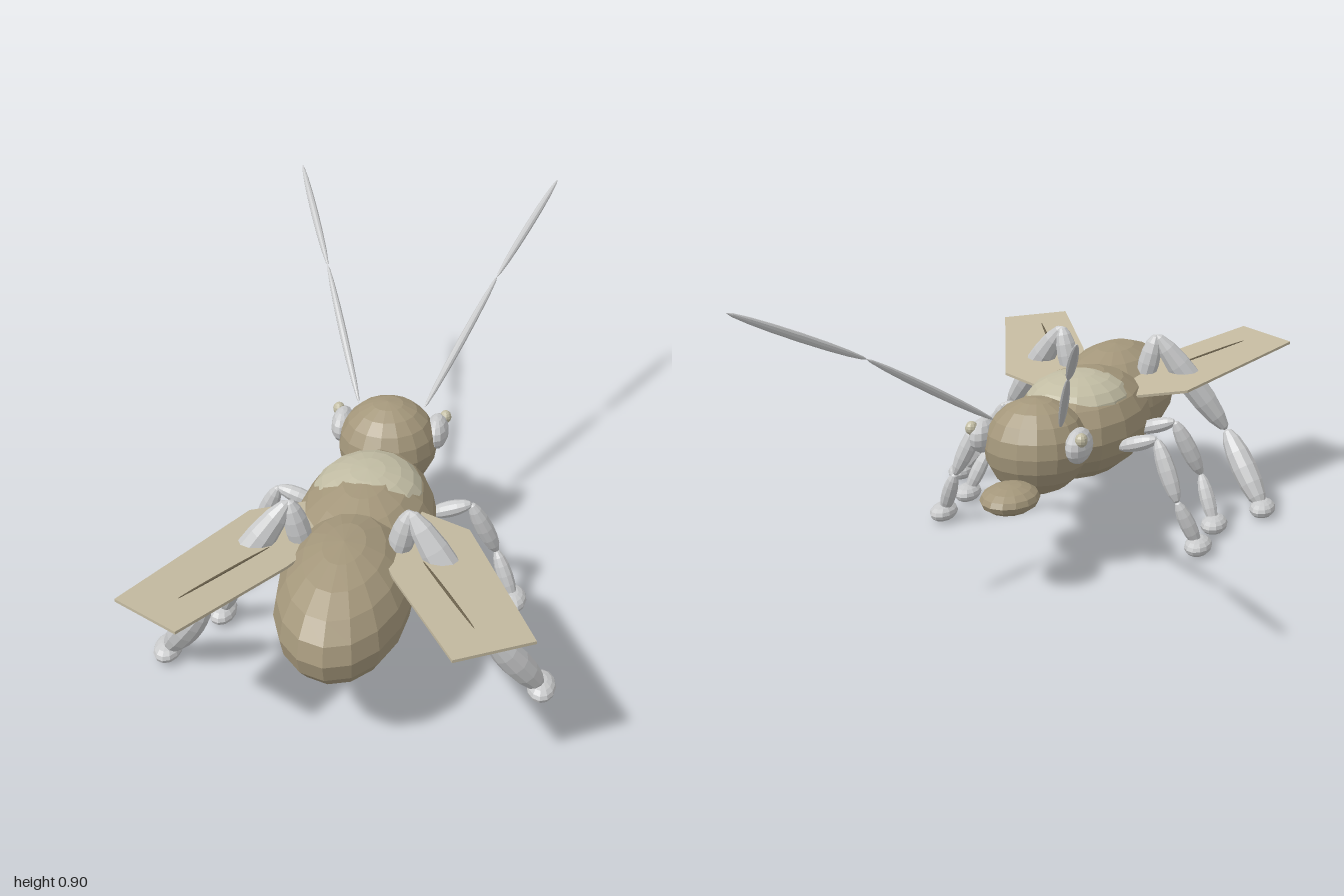
import * as THREE from 'three';

const mat = (name, color) => new THREE.MeshStandardMaterial({ name, color, flatShading: true });

export function createModel() {
  const group = new THREE.Group();
  group.name = 'insect';
  const brown = mat('shell brown', 0xa4977b);
  const pale = mat('pale plate', 0xc2bda4);
  const wingTan = mat('wing tan', 0xc4baa0);
  wingTan.side = THREE.DoubleSide;
  const grey = mat('limb grey', 0xc9cacb);
  const dark = mat('vein brown', 0x6b614c);

  const add = (name, geometry, material, parent = group) => {
    const mesh = new THREE.Mesh(geometry, material);
    mesh.name = name;
    parent.add(mesh);
    return mesh;
  };

  // Faceted ellipsoid
  const blob = (name, material, pos, size, w = 16, h = 10, parent = group) => {
    const m = add(name, new THREE.SphereGeometry(1, w, h), material, parent);
    m.position.set(...pos);
    m.scale.set(...size);
    return m;
  };

  // Long ellipsoid stretched between two points
  const up = new THREE.Vector3(0, 1, 0);
  const spindle = (name, material, a, b, r, parent = group) => {
    const p = new THREE.Vector3(...a), q = new THREE.Vector3(...b);
    const m = blob(name, material, [0, 0, 0], [r, p.distanceTo(q) / 2 + 0.003, r], 10, 8, parent);
    m.position.copy(p).add(q).multiplyScalar(0.5);
    m.quaternion.setFromUnitVectors(up, q.sub(p).normalize());
    return m;
  };

  // Body and head, facing -z
  blob('abdomen', brown, [0, 0.337, 0.58], [0.178, 0.166, 0.305]);
  blob('thorax', brown, [0, 0.335, 0.26], [0.197, 0.16, 0.32]);
  blob('backPlate', pale, [0, 0.41, 0.22], [0.158, 0.089, 0.2]);
  blob('head', brown, [0, 0.374, -0.137], [0.148, 0.139, 0.15]);
  blob('mouthpart', brown, [0, 0.283, -0.335], [0.08, 0.039, 0.1], 14, 8);

  // Legs: hip, upper joint, knee, foot, then the three radii
  const legs = [
    ['frontLeg', [0.16, 0.305, 0.125], [0.28, 0.345, 0.118], [0.355, 0.17, 0.085], [0.412, 0.03, 0.122], [0.024, 0.027, 0.024]],
    ['middleLeg', [0.16, 0.305, 0.315], [0.28, 0.345, 0.307], [0.355, 0.17, 0.355], [0.412, 0.03, 0.31], [0.024, 0.027, 0.024]],
    ['hindLeg', [0.115, 0.38, 0.495], [0.158, 0.56, 0.505], [0.375, 0.25, 0.583], [0.52, 0.03, 0.5], [0.034, 0.043, 0.041]],
  ];

  // Wing outline as x, z
  const outline = [[0.05, 0.45], [0.15, 0.285], [0.3, 0.37], [0.51, 0.88], [0.325, 0.995], [0.135, 0.65]];
  const wingY = (z) => 0.417 + (z - 0.3) * 0.105;

  for (const s of [1, -1]) {
    const side = s > 0 ? 'Left' : 'Right';
    const flip = ([x, y, z]) => [s * x, y, z];

    for (const [name, hip, joint, knee, foot, r] of legs) {
      const leg = new THREE.Group();
      leg.name = name + side;
      group.add(leg);
      spindle('hipSegment', grey, flip(hip), flip(joint), r[0], leg);
      spindle('thigh', grey, flip(joint), flip(knee), r[1], leg);
      spindle('shin', grey, flip(knee), flip(foot), r[2], leg);
      blob('foot', grey, flip(foot), [0.04, 0.028, 0.062], 12, 8, leg);
    }

    // Eye with a small lens
    blob('eye' + side, grey, flip([0.143, 0.401, -0.178]), [0.035, 0.05, 0.067], 12, 8);
    blob('lens' + side, pale, flip([0.163, 0.43, -0.217]), [0.018, 0.02, 0.02], 10, 8);

    // Two-part antenna
    spindle('antennaBase' + side, grey, flip([0.1, 0.46, -0.21]), flip([0.27, 0.718, -0.62]), 0.012);
    spindle('antennaTip' + side, grey, flip([0.27, 0.718, -0.62]), flip([0.425, 0.905, -0.997]), 0.012);

    // Flat wing rising toward its tip, with a thin vein
    const shape = new THREE.Shape(outline.map(([x, z]) => new THREE.Vector2(s * x, z)));
    const wing = new THREE.ExtrudeGeometry(shape, { depth: 0.008, bevelEnabled: false });
    wing.rotateX(Math.PI / 2);
    const p = wing.attributes.position;
    for (let i = 0; i < p.count; i++) p.setY(i, p.getY(i) + wingY(p.getZ(i)) + 0.004);
    wing.computeVertexNormals();
    add('wing' + side, wing, wingTan);
    spindle('wingVein' + side, dark, flip([0.2, wingY(0.56) + 0.004, 0.56]), flip([0.36, wingY(0.85) + 0.004, 0.85]), 0.004);
  }
  return group;
}
